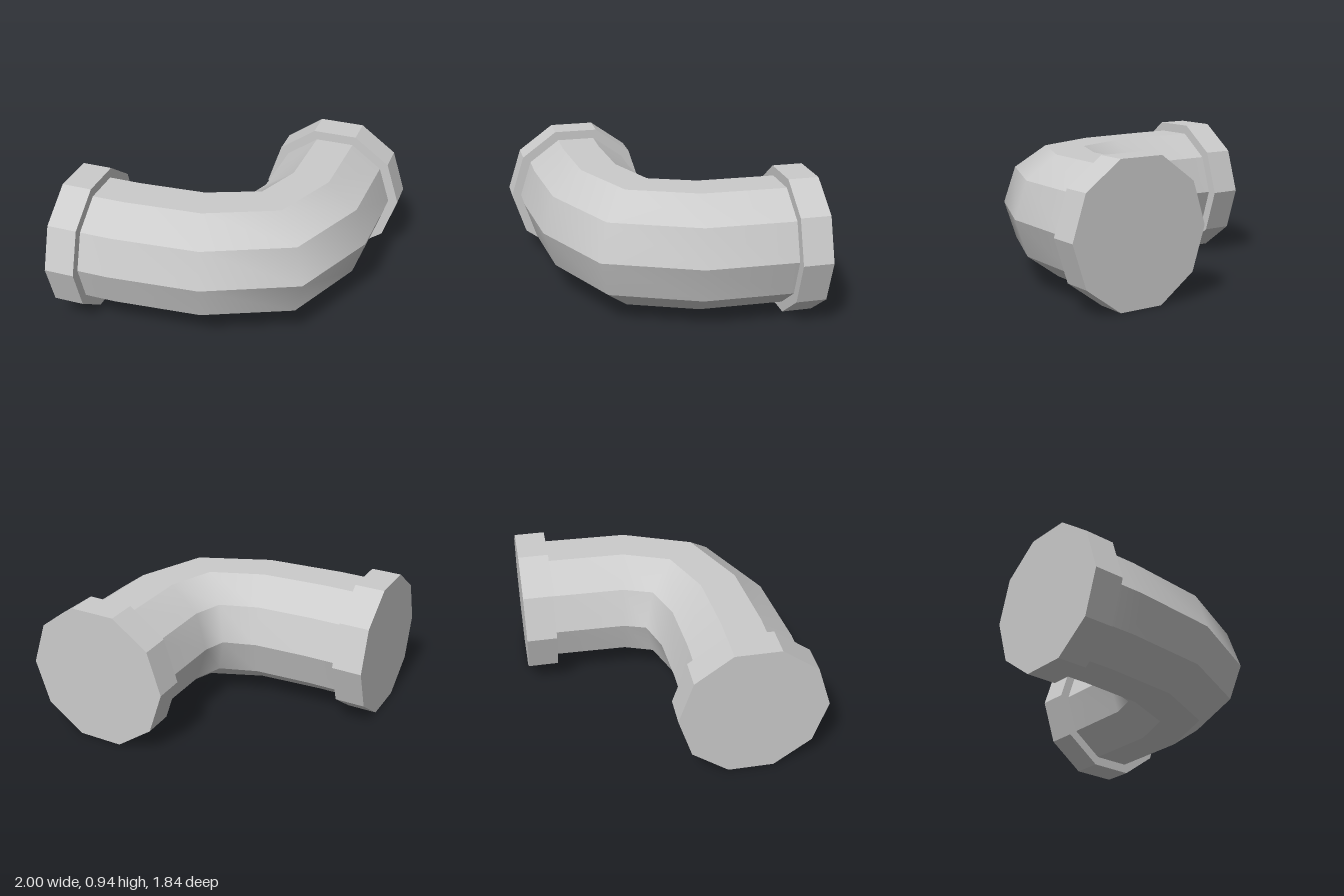
import * as THREE from 'three';

const SIDES = 10;
const AXIS_Y = 0.47;

// Bent tube: every facet strip has its own vertices, so it is smooth along
// the bend and creased between neighbouring strips.
function bentTube(stations) {
  const positions = [], index = [];
  const point = ([x, z, ux, uz], k) => {
    const a = (k / SIDES) * Math.PI * 2;
    const c = Math.cos(a), r = Math.hypot(ux, uz);
    return [x + ux * c, AXIS_Y + Math.min(r, 0.428) * Math.sin(a), z + uz * c];
  };
  for (let k = 0; k < SIDES; k++) {
    const base = positions.length / 3;
    stations.forEach((s, i) => {
      positions.push(...point(s, k), ...point(s, k + 1));
      if (i === 0) return;
      const a = base + (i - 1) * 2, b = a + 1, d = a + 2, c = a + 3;
      index.push(a, d, b, b, d, c);
    });
  }
  const geometry = new THREE.BufferGeometry();
  geometry.setAttribute('position', new THREE.Float32BufferAttribute(positions, 3));
  geometry.setIndex(index);
  geometry.computeVertexNormals();
  return geometry;
}

export function createModel() {
  const group = new THREE.Group();
  group.name = 'pipeElbow';

  const add = (name, geometry, flatShading) => {
    const material = new THREE.MeshStandardMaterial({ color: 0xcccccc, flatShading });
    const mesh = new THREE.Mesh(geometry, material);
    mesh.name = name;
    group.add(mesh);
    return mesh;
  };

  // Elbow: outer and inner edge of each cross-section, as [x, z] pairs
  const edges = [
    [[-0.8, 0.855], [-0.8, 0]],
    [[-0.58, 0.855], [-0.56, 0]],
    [[0.04, 0.8], [-0.2, -0.02]],
    [[0.65, 0.52], [0.02, -0.09]],
    [[0.913, -0.1], [0.07, -0.24]],
    [[0.933, -0.72], [0.08, -0.72]],
  ];
  const stations = edges.map(([o, i]) => [
    (o[0] + i[0]) / 2, (o[1] + i[1]) / 2, (o[0] - i[0]) / 2, (o[1] - i[1]) / 2,
  ]);
  add('elbowPipe', bentTube(stations), false);

  // End collars, each with a corner pointing sideways and a flat top
  const collar = (thetaStart) =>
    new THREE.CylinderGeometry(0.494, 0.494, 0.206, SIDES, 1, false, thetaStart);
  add('sideCollar', collar(0).rotateZ(Math.PI / 2), true).position.set(-0.897, AXIS_Y, 0.427);
  add('backCollar', collar(Math.PI / 2).rotateX(Math.PI / 2), true).position.set(0.506, AXIS_Y, -0.82);

  return group;
}
